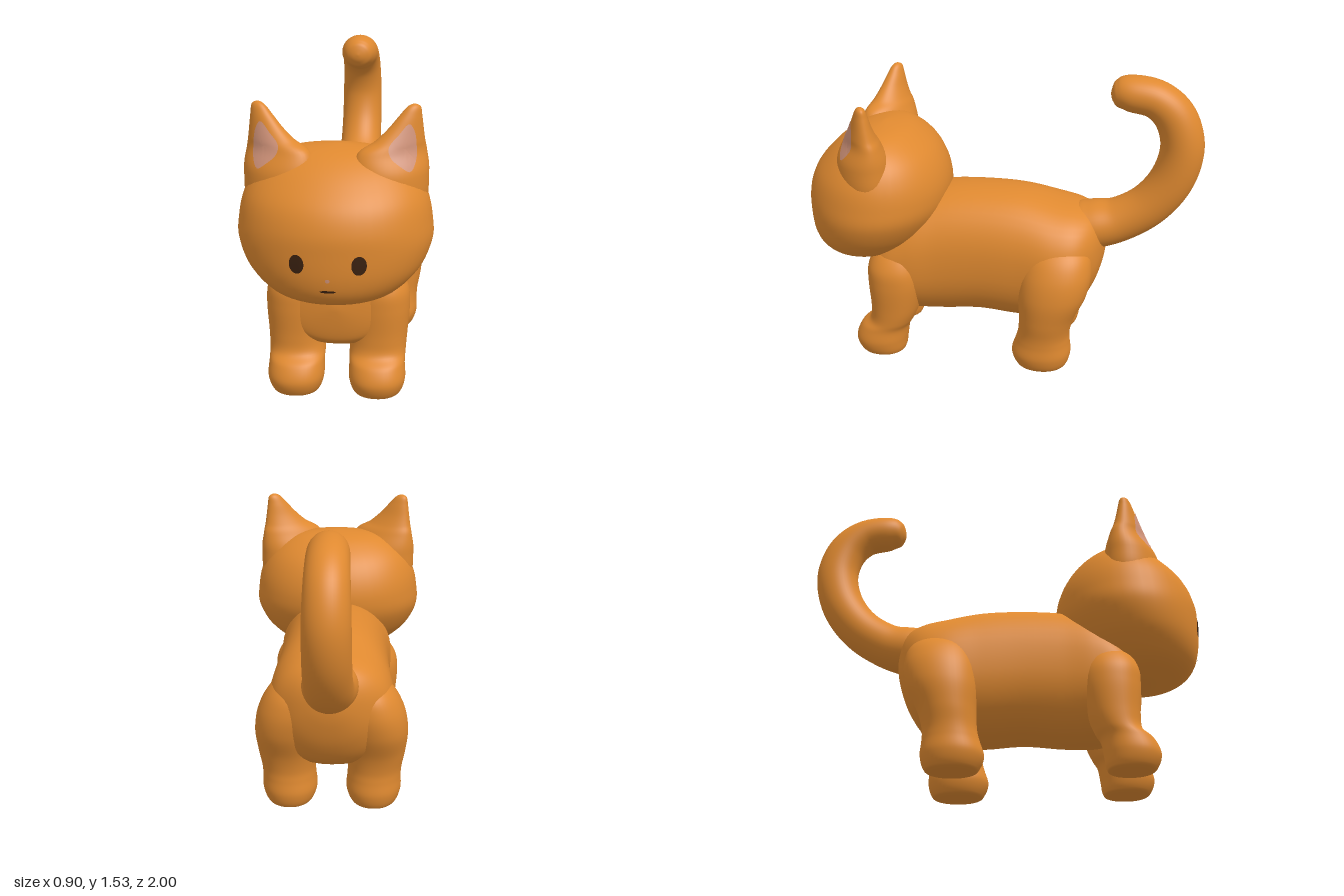
import * as THREE from 'three';
import { mergeVertices } from 'three/addons/utils/BufferGeometryUtils.js';

const fur = new THREE.MeshStandardMaterial({ color: 0xdf8930 });
fur.name = 'orangeFur';
const pink = new THREE.MeshStandardMaterial({ color: 0xd2947a });
pink.name = 'pinkSkin';
const dark = new THREE.MeshStandardMaterial({ color: 0x3a2110 });
dark.name = 'darkBrown';

const UP = [1, 0], BACK = [0, -1]; // loft directions as [y, z]
const STEPS = 7, SIDES = 44;

// Smooth rows through the given ones; the mirrored end rows round off the tips
function smoothRows(rows) {
  const tip = (end, next) => [...end.slice(0, 3), -next[3], -next[4]];
  const last = rows.length - 1;
  const p = [tip(rows[0], rows[1]), ...rows, tip(rows[last], rows[last - 1])];
  const out = [];
  for (let i = 1; i <= last; i++) {
    for (let s = 0; s < STEPS; s++) {
      const t = s / STEPS;
      out.push(p[i].map((b, k) => {
        const a = p[i - 1][k], c = p[i + 1][k], d = p[i + 2][k];
        return b + 0.5 * t * (c - a + t * (2 * a - 5 * b + 4 * c - d + t * (3 * (b - c) + d - a)));
      }));
    }
  }
  out.push(rows[last]);
  return out;
}

// Skin rows of [x, y, z, side radius, other radius]; without a direction the rings follow the path
function loft(rows, { dir = null, power = 2, turn = 0 } = {}) {
  const rings = smoothRows(rows);
  const pos = [], index = [];
  const round = (v) => Math.sign(v) * Math.abs(v) ** (2 / power);
  rings.forEach(([x, y, z, ru, rv], i) => {
    let [ty, tz] = dir || [0, 0];
    if (!dir) {
      const a = rings[Math.max(i - 1, 0)], b = rings[Math.min(i + 1, rings.length - 1)];
      const len = Math.hypot(b[1] - a[1], b[2] - a[2]) || 1;
      ty = (b[1] - a[1]) / len;
      tz = (b[2] - a[2]) / len;
    }
    for (let j = 0; j < SIDES; j++) {
      const a = (j / SIDES) * Math.PI * 2;
      const u0 = Math.max(ru, 0) * round(Math.cos(a)), v0 = Math.max(rv, 0) * round(Math.sin(a));
      const u = u0 * Math.cos(turn) - v0 * Math.sin(turn);
      const v = u0 * Math.sin(turn) + v0 * Math.cos(turn);
      pos.push(x + u, y - v * tz, z + v * ty);
      if (i < rings.length - 1) {
        const k = i * SIDES, n = (j + 1) % SIDES;
        index.push(k + j, k + SIDES + j, k + n, k + n, k + SIDES + j, k + SIDES + n);
      }
    }
  });
  const geo = new THREE.BufferGeometry();
  geo.setAttribute('position', new THREE.Float32BufferAttribute(pos, 3));
  geo.setIndex(index);
  const welded = mergeVertices(geo, 1e-5);
  welded.computeVertexNormals();
  return welded;
}

// Thin plate with a smooth closed outline (counter-clockwise), draped over the targets from the front
function plate(outline, targets) {
  const n = 32, bands = 6;
  const curve = new THREE.CatmullRomCurve3(outline.map(([x, y]) => new THREE.Vector3(x, y, 0)), true);
  const edge = curve.getPoints(n);
  const mid = new THREE.Vector3();
  outline.forEach(([x, y]) => mid.add(new THREE.Vector3(x, y, 0).divideScalar(outline.length)));
  const geo = new THREE.RingGeometry(0, 1, n, bands);
  const pos = geo.attributes.position;
  const ray = new THREE.Raycaster();
  for (let i = 0; i < pos.count; i++) {
    const p = mid.clone().lerp(edge[i % (n + 1)], Math.floor(i / (n + 1)) / bands);
    ray.set(new THREE.Vector3(p.x, p.y, 3), new THREE.Vector3(0, 0, -1));
    const hit = ray.intersectObjects(targets)[0];
    pos.setXYZ(i, p.x, p.y, (hit ? hit.point.z : 0.64) + 0.004);
  }
  geo.computeVertexNormals();
  return geo;
}

const oval = (x, y, rx, ry) => Array.from({ length: 12 }, (_, i) => {
  const a = (i / 12) * Math.PI * 2;
  return [x + rx * Math.cos(a), y + ry * Math.sin(a)];
});

export function createModel() {
  const cat = new THREE.Group();
  cat.name = 'cat';
  const add = (name, geo, mat = fur) => {
    const mesh = new THREE.Mesh(geo, mat);
    mesh.name = name;
    cat.add(mesh);
    return mesh;
  };

  // Body, from chest to rump
  add('body', loft([
    [0, 0.45, 0.695, 0, 0], [0, 0.45, 0.672, 0.17, 0.15], [0, 0.46, 0.64, 0.25, 0.21],
    [0, 0.49, 0.57, 0.3, 0.27], [0, 0.53, 0.45, 0.305, 0.325], [0, 0.55, 0.3, 0.292, 0.345],
    [0, 0.565, 0.1, 0.29, 0.343], [0, 0.555, -0.1, 0.3, 0.345], [0, 0.54, -0.28, 0.315, 0.322],
    [0, 0.56, -0.4, 0.285, 0.275], [0, 0.6, -0.48, 0.2, 0.2], [0, 0.63, -0.525, 0.1, 0.1],
    [0, 0.64, -0.54, 0, 0],
  ], { dir: BACK, power: 2.3 }));

  // Tail, curling up and forward
  add('tail', loft([
    [0, 0.7, -0.34, 0, 0], [0, 0.71, -0.38, 0.13, 0.11], [0, 0.725, -0.47, 0.14, 0.125],
    [0, 0.76, -0.6, 0.122, 0.114], [0, 0.855, -0.745, 0.115, 0.11], [0, 1, -0.85, 0.112, 0.11],
    [0, 1.17, -0.89, 0.11, 0.108], [0, 1.32, -0.85, 0.105, 0.103], [0, 1.41, -0.755, 0.1, 0.095],
    [0, 1.436, -0.63, 0.095, 0.09], [0, 1.435, -0.565, 0.073, 0.07], [0, 1.434, -0.54, 0.042, 0.04],
    [0, 1.434, -0.53, 0, 0],
  ]));

  // Head rows: height, front z, back z, half width
  const head = add('head', loft([
    [0.515, 0.7, 0.7, 0], [0.528, 0.82, 0.58, 0.15], [0.56, 0.92, 0.5, 0.255],
    [0.61, 0.97, 0.43, 0.33], [0.69, 0.994, 0.355, 0.402], [0.8, 1, 0.29, 0.447],
    [0.9, 0.995, 0.274, 0.444], [1, 0.958, 0.295, 0.423], [1.09, 0.883, 0.345, 0.375],
    [1.16, 0.8, 0.42, 0.3], [1.205, 0.715, 0.5, 0.19], [1.225, 0.61, 0.61, 0],
  ].map(([y, f, b, w]) => [0, y, (f + b) / 2, w, (f - b) / 2]), { dir: UP }));

  // Paired parts, written for the left side
  const earRows = [
    [0.24, 0.9, 0.66, 0, 0], [0.24, 0.95, 0.66, 0.17, 0.12], [0.25, 1.1, 0.66, 0.185, 0.125],
    [0.258, 1.2, 0.655, 0.168, 0.085], [0.29, 1.25, 0.648, 0.122, 0.066], [0.314, 1.3, 0.642, 0.088, 0.05],
    [0.336, 1.36, 0.635, 0.055, 0.035], [0.35, 1.4, 0.63, 0.032, 0.021], [0.352, 1.415, 0.63, 0, 0],
  ];
  const frontLegRows = [
    [0.195, 0, 0.61, 0, 0], [0.195, 0, 0.61, 0.09, 0.095], [0.195, 0.02, 0.615, 0.118, 0.122],
    [0.195, 0.08, 0.62, 0.135, 0.136], [0.193, 0.15, 0.6, 0.133, 0.128], [0.193, 0.2, 0.56, 0.135, 0.115],
    [0.197, 0.28, 0.54, 0.137, 0.127], [0.2, 0.42, 0.53, 0.144, 0.145], [0.197, 0.52, 0.53, 0.135, 0.14],
    [0.18, 0.61, 0.52, 0.09, 0.1], [0.17, 0.65, 0.52, 0, 0],
  ];
  const hindLegRows = [
    [0.215, 0, -0.24, 0, 0], [0.215, 0, -0.24, 0.09, 0.105], [0.215, 0.02, -0.24, 0.12, 0.135],
    [0.215, 0.08, -0.238, 0.14, 0.153], [0.217, 0.15, -0.245, 0.137, 0.14], [0.22, 0.21, -0.252, 0.138, 0.133],
    [0.224, 0.3, -0.265, 0.15, 0.143], [0.225, 0.43, -0.29, 0.16, 0.175], [0.2, 0.56, -0.305, 0.16, 0.18],
    [0.17, 0.67, -0.31, 0.12, 0.14], [0.15, 0.75, -0.31, 0, 0],
  ];
  const innerEar = [[0.365, 1.17], [0.366, 1.24], [0.356, 1.3], [0.333, 1.333], [0.29, 1.29],
    [0.245, 1.235], [0.255, 1.195], [0.3, 1.155], [0.343, 1.13]];

  for (const [side, s] of [['left', 1], ['right', -1]]) {
    const flip = (rows) => rows.map(([x, ...rest]) => [s * x, ...rest]);
    add(side + 'FrontLeg', loft(flip(frontLegRows), { dir: UP, power: 2.15 }));
    add(side + 'HindLeg', loft(flip(hindLegRows), { dir: UP, power: 2.1 }));
    const ear = add(side + 'Ear', loft(flip(earRows), { dir: UP, turn: -0.5 * s }));
    const patch = flip(innerEar);
    add(side + 'InnerEar', plate(s > 0 ? patch : patch.reverse(), [ear, head]), pink);
    add(side + 'Eye', plate(oval(s * 0.137, 0.77, 0.033, 0.044), [head]), dark);
  }

  // Nose and mouth
  add('nose', plate(oval(0, 0.7, 0.01, 0.009), [head]), pink);
  add('mouth', plate(oval(0, 0.646, 0.036, 0.006), [head]), dark);

  return cat;
}
